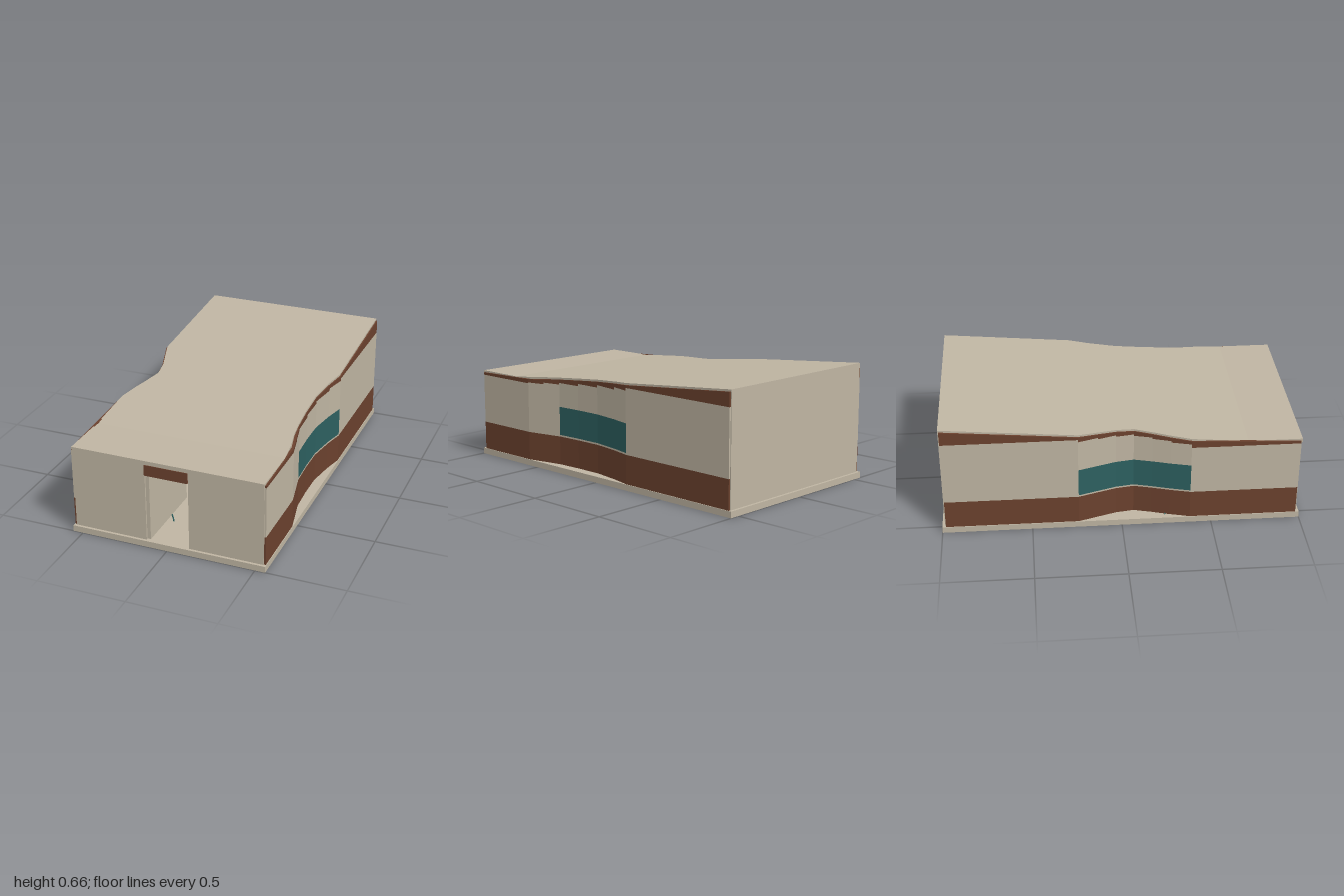
import * as THREE from 'three';
import { mergeGeometries } from 'three/addons/utils/BufferGeometryUtils.js';

const material = (name, color) => Object.assign(new THREE.MeshStandardMaterial({ color }), { name });

// Straight-line interpolation through [z, value] points with falling z
function along(points, z) {
  for (let i = 0; i < points.length - 1; i++) {
    const [z0, v0] = points[i], [z1, v1] = points[i + 1];
    if (z <= z0 && z >= z1) return v0 + (v1 - v0) * (z0 - z) / (z0 - z1);
  }
  return points[points.length - 1][1];
}

// Solid between a front and a back section, each { z, x0, x1, y0, y1 }
function prism(front, back) {
  const corners = s => [[s.x0, s.y0, s.z], [s.x1, s.y0, s.z], [s.x1, s.y1, s.z], [s.x0, s.y1, s.z]];
  const a = corners(front), b = corners(back), pos = [];
  const quad = (p, q, r, s) => pos.push(...p, ...q, ...r, ...p, ...r, ...s);
  quad(a[0], a[1], a[2], a[3]);
  quad(b[1], b[0], b[3], b[2]);
  for (let i = 0; i < 4; i++) {
    const j = (i + 1) % 4;
    quad(a[i], b[i], b[j], a[j]);
  }
  const g = new THREE.BufferGeometry();
  g.setAttribute('position', new THREE.Float32BufferAttribute(pos, 3));
  g.computeVertexNormals();
  return g;
}

export function createModel() {
  const group = new THREE.Group();
  const plaster = material('plaster', 0xbfb5a2);
  const timber = material('timber', 0x6b412e);
  const glass = material('glass', 0x2d6060);

  const add = (name, geometry, mat) => {
    const mesh = new THREE.Mesh(geometry, mat);
    mesh.name = name;
    group.add(mesh);
    return mesh;
  };
  const box = (name, mat, x0, x1, y0, y1, z0, z1) => {
    const m = add(name, new THREE.BoxGeometry(x1 - x0, y1 - y0, z1 - z0), mat);
    m.position.set((x0 + x1) / 2, (y0 + y1) / 2, (z0 + z1) / 2);
    return m;
  };

  // Plan outlines of walls and roof edges: [z, distance from the centre line]
  const leftWall = [[0.98, 0.553], [0.57, 0.553], [0.46, 0.53], [0.35, 0.507], [0.2, 0.5],
    [0.04, 0.5], [-0.12, 0.525], [-0.24, 0.553], [-0.98, 0.553]];
  const rightWall = [[0.98, 0.553], [0.38, 0.553], [0.27, 0.525], [0.17, 0.495], [0.07, 0.469],
    [-0.03, 0.485], [-0.13, 0.517], [-0.24, 0.553], [-0.98, 0.553]];
  const leftRoof = [[0.99, 0.545], [0.69, 0.545], [0.57, 0.535], [0.46, 0.514], [0.35, 0.502],
    [0.2, 0.495], [0.04, 0.495], [-0.12, 0.518], [-0.24, 0.545], [-0.985, 0.545]];
  const rightRoof = [[0.99, 0.545], [0.38, 0.545], [0.27, 0.518], [0.17, 0.488], [0.07, 0.462],
    [-0.03, 0.478], [-0.13, 0.51], [-0.24, 0.545], [-0.985, 0.545]];
  const roofTop = [[0.99, 0.515], [0.69, 0.515], [-0.985, 0.66]];
  const roofY = z => along(roofTop, z);

  // Floor slab
  box('floorSlab', plaster, -0.557, 0.557, 0, 0.035, -1, 1);

  // Sloping roof sheet with waisted sides
  const stations = [...new Set([...leftRoof, ...rightRoof].map(p => p[0]))].sort((a, b) => b - a);
  const roofSection = z => ({ z, x0: -along(rightRoof, z), x1: along(leftRoof, z), y0: roofY(z) - 0.013, y1: roofY(z) });
  add('roof', mergeGeometries(stations.slice(1).map((z, i) => prism(roofSection(stations[i]), roofSection(z)))), plaster);

  // Side walls in horizontal bands; the top timber band steps up towards the back
  function sideWall(name, outline, side, windowFront) {
    const parts = { Base: [], Plaster: [], Window: [], TopBand: [] };
    for (let i = 0; i < outline.length - 1; i++) {
      const zf = outline[i][0], zb = outline[i + 1][0];
      const band = (list, y0, topAt) => {
        const section = z => {
          const outer = side * along(outline, z), inner = outer - side * 0.015;
          return { z, x0: Math.min(outer, inner), x1: Math.max(outer, inner), y0, y1: topAt(z) };
        };
        list.push(prism(section(zf), section(zb)));
      };
      const step = zb < -0.5 ? 0.57 : Math.max(0.49, roofY(zf) - 0.03);
      band(parts.Base, 0.035, () => 0.2);
      if (zf <= windowFront && zb > -0.5) {
        band(parts.Plaster, 0.2, () => 0.21);
        band(parts.Window, 0.21, () => 0.375);
        band(parts.Plaster, 0.375, () => step);
      } else band(parts.Plaster, 0.2, () => step);
      band(parts.TopBand, step, z => roofY(z) - 0.011);
    }
    const mats = { Base: timber, Plaster: plaster, Window: glass, TopBand: timber };
    for (const key in parts) add(name + key, mergeGeometries(parts[key]), mats[key]);
  }
  sideWall('leftWall', leftWall, 1, 0.36);
  sideWall('rightWall', rightWall, -1, 0.39);

  // Front wall with the doorway and its timber lintel
  box('frontWallRight', plaster, -0.543, -0.123, 0.035, 0.503, 0.965, 0.985);
  box('frontWallLeft', plaster, 0.123, 0.543, 0.035, 0.503, 0.965, 0.985);
  box('doorLintel', timber, -0.123, 0.123, 0.43, 0.492, 0.965, 0.993);
  box('frontFascia', plaster, -0.543, 0.543, 0.492, 0.513, 0.965, 0.99);

  // Back wall
  box('backWall', plaster, -0.543, 0.543, 0.035, 0.65, -0.985, -0.965);

  // Open door leaf and interior post
  box('doorLeaf', plaster, -0.123, -0.103, 0.037, 0.43, 0.5, 0.975);
  const post = box('interiorPost', timber, -0.009, 0.009, 0.035, 0.418, -0.3, -0.282);
  post.rotation.y = Math.PI / 4;

  // Inlaid floor line curving from the doorway to the right-hand recess
  const path = new THREE.CatmullRomCurve3([[-0.06, 0.77], [-0.09, 0.72], [-0.25, 0.5], [-0.4, 0.33], [-0.525, 0.24]]
    .map(([x, z]) => new THREE.Vector3(x, 0.037, z)));
  add('floorInlay', new THREE.TubeGeometry(path, 24, 0.004, 6), glass);

  return group;
}
